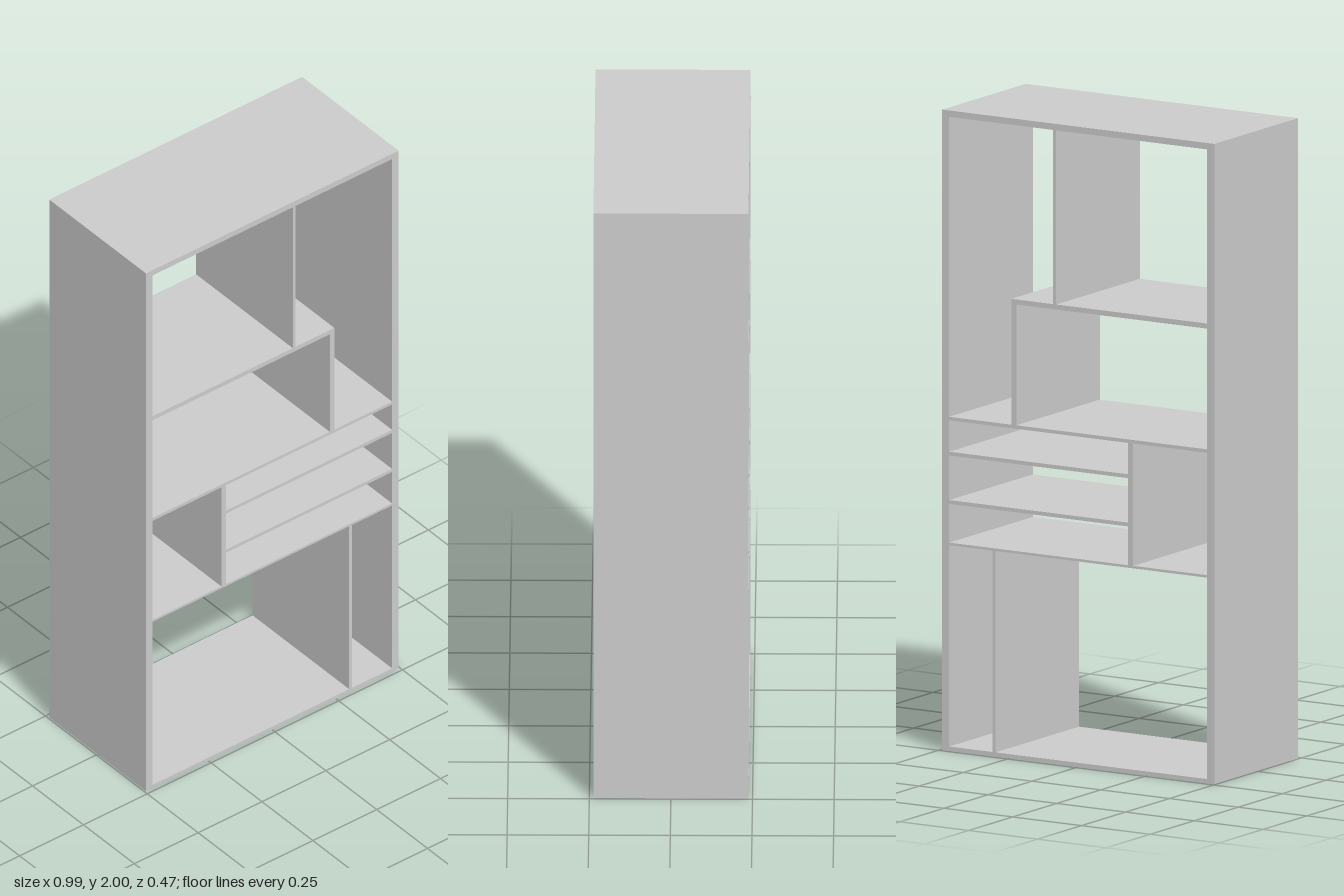
import * as THREE from 'three';

const DEPTH = 0.475;

export function createModel() {
  const group = new THREE.Group();
  group.name = 'openBookcase';
  const material = new THREE.MeshStandardMaterial({ color: 0xcccccc, flatShading: true });

  // A full-depth board given by its left, right, bottom and top edges
  const board = (name, x0, x1, y0, y1) => {
    const mesh = new THREE.Mesh(new THREE.BoxGeometry(x1 - x0, y1 - y0, DEPTH), material);
    mesh.position.set((x0 + x1) / 2, (y0 + y1) / 2, 0);
    mesh.name = name;
    group.add(mesh);
  };

  const W = 0.495, IN = 0.469;

  // Outer frame, open at front and back
  board('rightSide', -W, -IN, 0, 2);
  board('leftSide', IN, W, 0, 2);
  board('topPanel', -IN, IN, 1.98, 2);
  board('bottomPanel', -IN, IN, 0, 0.013);

  // Full-width shelves
  board('lowerShelf', -IN, IN, 0.642, 0.65);
  board('middleShelf', -IN, IN, 1.032, 1.043);

  // Bottom compartment divider
  board('lowerDivider', 0.301, 0.312, 0.013, 0.642);

  // Middle compartment: divider and two short shelves
  board('middleDivider', -0.2, -0.182, 0.65, 1.032);
  for (const y of [0.771, 0.922]) board('shortShelf', -0.182, IN, y, y + 0.012);

  // Upper compartment: stepped shelf with its support and divider
  board('upperShelf', -IN, 0.243, 1.42, 1.436);
  board('upperShelfSupport', 0.225, 0.243, 1.043, 1.42);
  board('topDivider', 0.08, 0.091, 1.436, 1.98);

  return group;
}
